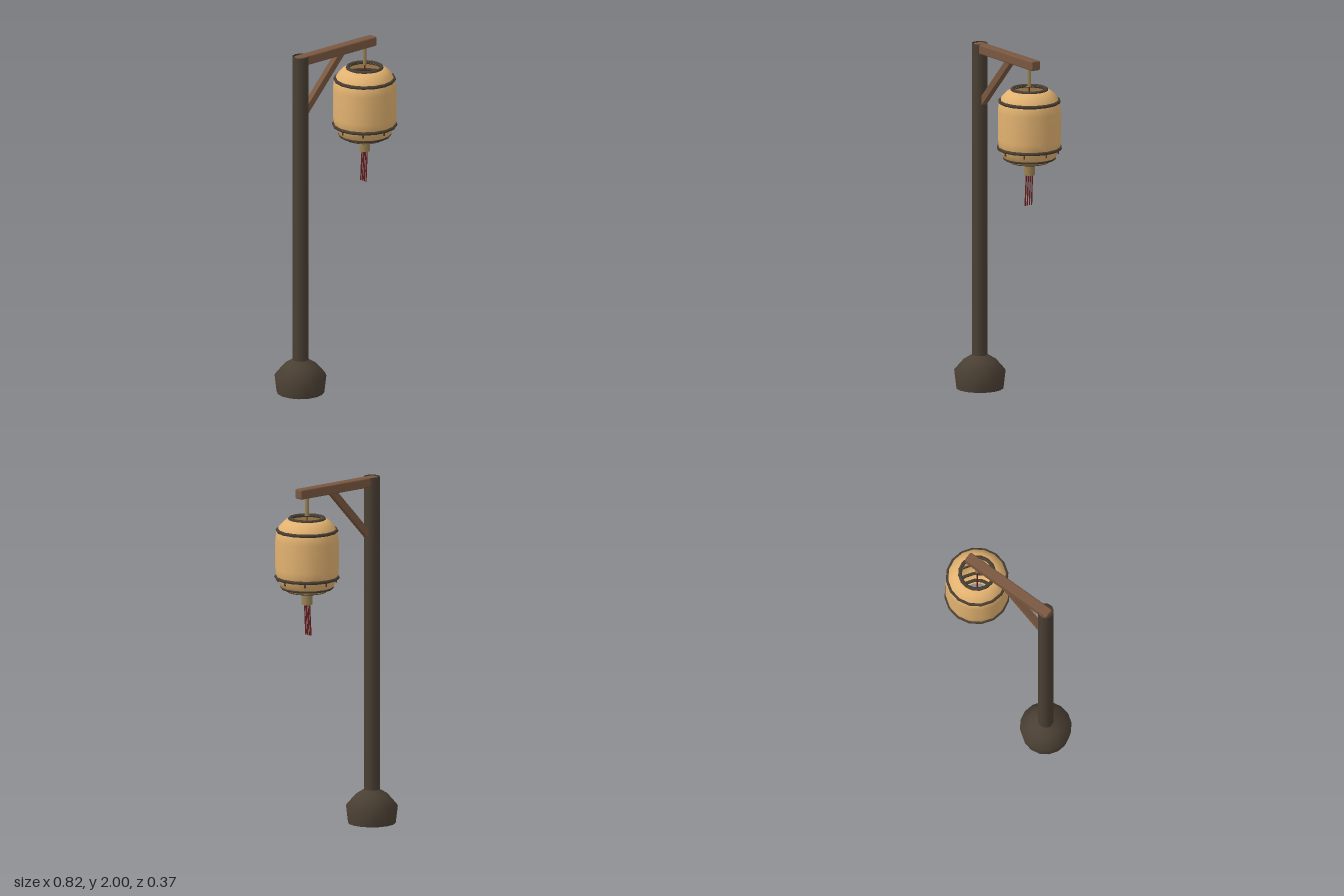
import * as THREE from 'three';
import { RoundedBoxGeometry } from 'three/addons/geometries/RoundedBoxGeometry.js';

const mat = (color) => new THREE.MeshStandardMaterial({ color, side: THREE.DoubleSide });
const darkWood = mat(0x4a3f33);
const wood = mat(0x7a5840);
const paper = mat(0xe2b270);
const brass = mat(0x9a8355);
const red = mat(0x6a2020);
const SIDES = 16;

function add(parent, name, geometry, material, x = 0, y = 0, z = 0) {
  const mesh = new THREE.Mesh(geometry, material);
  mesh.name = name;
  mesh.position.set(x, y, z);
  parent.add(mesh);
  return mesh;
}

const lathe = (points) =>
  new THREE.LatheGeometry(points.map(([r, y]) => new THREE.Vector2(r, y)), SIDES);

// Straight round bar between two points
function bar(parent, name, a, b, radius, material) {
  const from = new THREE.Vector3(...a), to = new THREE.Vector3(...b);
  const dir = to.clone().sub(from);
  const mesh = add(parent, name, new THREE.CylinderGeometry(radius, radius, dir.length(), 6), material);
  mesh.position.copy(from).addScaledVector(dir, 0.5);
  mesh.quaternion.setFromUnitVectors(new THREE.Vector3(0, 1, 0), dir.normalize());
  return mesh;
}

function createPost() {
  const post = new THREE.Group();
  post.name = 'post';
  post.position.x = -0.263;
  // Hollow foot and hollow pole
  add(post, 'foot', lathe([[0.135, 0], [0.147, 0.1], [0.093, 0.163], [0.045, 0.193]]), darkWood);
  add(post, 'pole', new THREE.CylinderGeometry(0.045, 0.045, 1.815, SIDES, 1, true), darkWood, 0, 1.0925);
  return post;
}

function createArm() {
  const arm = new THREE.Group();
  arm.name = 'arm';
  add(arm, 'beam', new RoundedBoxGeometry(0.578, 0.056, 0.058, 1, 0.008), wood, 0, 1.972);
  // Diagonal brace cut flush to pole and beam
  const outline = new THREE.Shape([[-0.225, 1.645], [0.058, 1.948], [0.006, 1.948], [-0.225, 1.7]]
    .map(([x, y]) => new THREE.Vector2(x, y)));
  const brace = new THREE.ExtrudeGeometry(outline, { depth: 0.036, bevelEnabled: false });
  add(arm, 'brace', brace, wood, 0, 0, -0.018);
  return arm;
}

function createLantern() {
  const lantern = new THREE.Group();
  lantern.name = 'lantern';
  lantern.position.x = 0.222;

  // Paper shade, open at both ends
  add(lantern, 'shade', lathe([
    [0.09, 1.408], [0.115, 1.408], [0.148, 1.43], [0.163, 1.465], [0.177, 1.5], [0.18, 1.54],
    [0.18, 1.7], [0.175, 1.74], [0.158, 1.78], [0.13, 1.81], [0.105, 1.822], [0.086, 1.822],
  ]), paper);

  // Dark hoops: radius, height, tube
  const hoops = [[0.097, 1.823, 0.011], [0.168, 1.757, 0.01], [0.176, 1.487, 0.01],
    [0.142, 1.43, 0.01], [0.107, 1.412, 0.01]];
  for (const [r, y, tube] of hoops) {
    const hoop = add(lantern, 'hoop', new THREE.TorusGeometry(r, tube, 6, SIDES), darkWood, 0, y);
    hoop.rotation.x = Math.PI / 2;
  }

  // Small pegs below the wide hoop
  for (let i = 0; i < 8; i++) {
    const a = (i * Math.PI) / 4;
    add(lantern, 'peg', new THREE.CylinderGeometry(0.005, 0.005, 0.03, 6), darkWood,
      0.165 * Math.cos(a), 1.472, 0.165 * Math.sin(a));
  }

  // Hanger, inner cord and tassel
  bar(lantern, 'hanger', [0, 1.84, 0], [0, 1.95, 0], 0.011, brass);
  bar(lantern, 'cord', [0, 1.4, 0], [0, 1.84, 0], 0.004, red);
  add(lantern, 'tasselCap', new THREE.CylinderGeometry(0.031, 0.031, 0.075, 12), brass, 0, 1.366);
  for (const z of [-0.021, -0.007, 0.007, 0.021]) {
    bar(lantern, 'tasselStrand', [0, 1.335, z], [-0.01, 1.15, z * 1.05], 0.004, red);
  }
  return lantern;
}

export function createModel() {
  const model = new THREE.Group();
  model.name = 'lanternPost';
  model.add(createPost(), createArm(), createLantern());
  return model;
}
